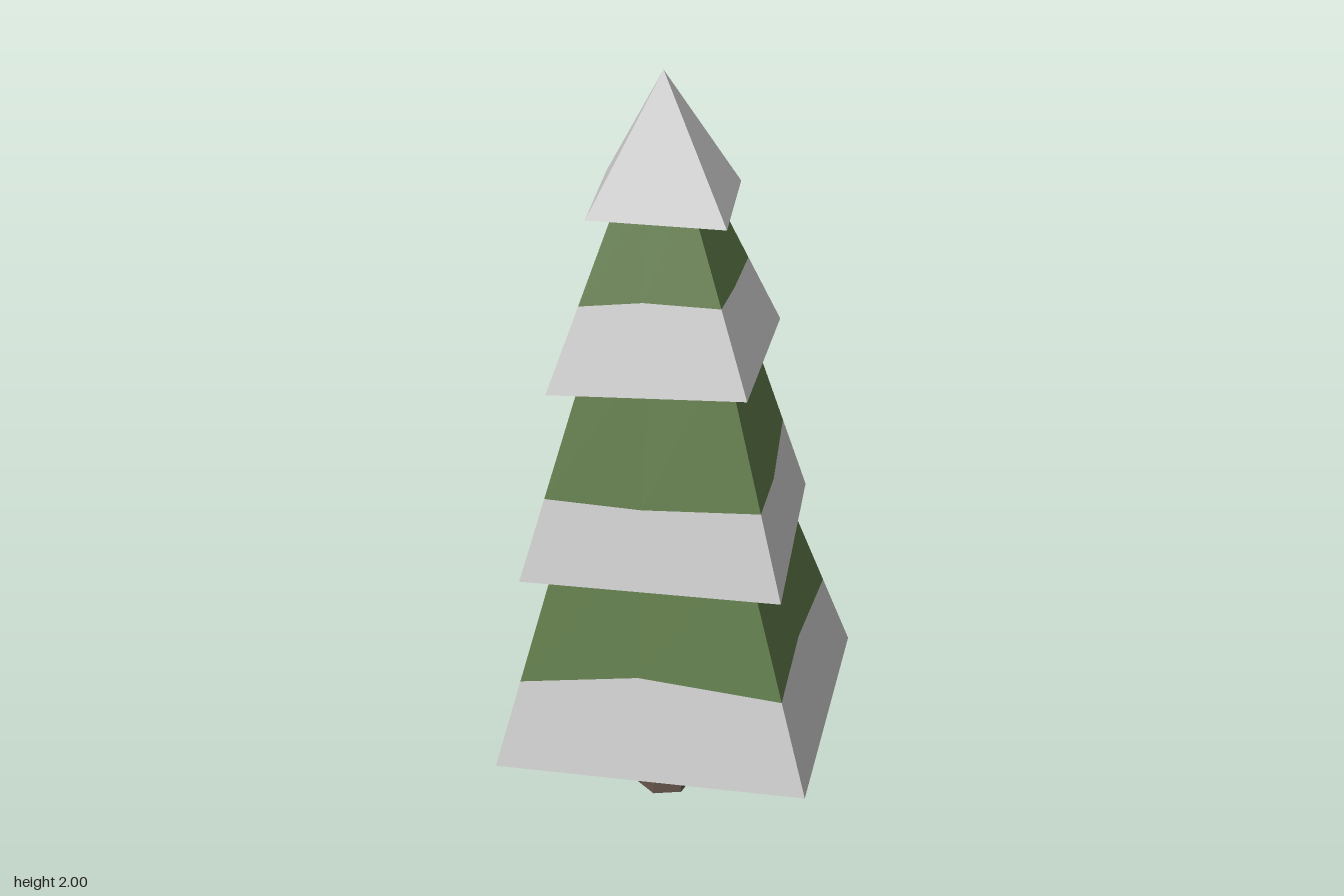
import * as THREE from 'three';

const material = (color) => new THREE.MeshStandardMaterial({ color, flatShading: true });
const snowMat = material(0xcccccc);
const greenMat = material(0x5f7a48);
const barkMat = material(0x64544a);

// Each tier: base corners (back, right, front, left), the point its edges lean to,
// snow line heights (corner, mid-face, corner, ...) and the height where it is cut off.
const tiers = [
  {
    base: [[-0.265, 0.25, -0.5], [0.5, 0.26, -0.265], [0.265, 0.25, 0.5], [-0.5, 0.245, 0.265]],
    apex: [-0.05, 1.68, 0.03],
    snow: [0.47, 0.42, 0.475, 0.505, 0.485, 0.51, 0.47, 0.505],
    top: 0.85,
  },
  {
    base: [[-0.275, 0.78, -0.39], [0.365, 0.76, -0.24], [0.21, 0.75, 0.395], [-0.425, 0.77, 0.25]],
    apex: [-0.03, 1.94, 0.01],
    snow: [0.985, 1.0, 0.975, 0.945, 0.965, 0.96, 0.975, 0.975],
    top: 1.34,
  },
  {
    base: [[-0.195, 1.25, -0.3], [0.275, 1.28, -0.155], [0.13, 1.265, 0.32], [-0.345, 1.24, 0.175]],
    apex: [-0.05, 1.96, 0.02],
    snow: [1.455, 1.465, 1.47, 1.465, 1.47, 1.47, 1.45, 1.46],
    top: 1.74,
  },
];
const crown = {
  base: [[-0.165, 1.68, -0.19], [0.165, 1.67, -0.115], [0.09, 1.665, 0.22], [-0.24, 1.675, 0.145]],
  apex: [-0.04, 2, 0.02],
};

const vec = (a) => new THREE.Vector3(...a);

// Side wall between two loops of equal length
function band(low, high) {
  const out = [];
  low.forEach((p, i) => {
    const j = (i + 1) % low.length;
    out.push(low[j], p, high[i], low[j], high[i], high[j]);
  });
  return out;
}

// Flat cap over a loop, facing down or up
function cap(loop, up) {
  const out = [];
  for (let i = 1; i < loop.length - 1; i++) {
    out.push(loop[0], ...(up ? [loop[i + 1], loop[i]] : [loop[i], loop[i + 1]]));
  }
  return out;
}

function facetMesh(points, mat, name) {
  const geo = new THREE.BufferGeometry().setFromPoints(points);
  geo.computeVertexNormals();
  const mesh = new THREE.Mesh(geo, mat);
  mesh.name = name;
  return mesh;
}

function makeTier({ base, apex, snow, top }, index) {
  const tier = new THREE.Group();
  tier.name = `branchTier${index + 1}`;
  const tip = vec(apex);
  // Base loop with a midpoint on every side
  const low = base.flatMap((c, i) => {
    const p = vec(c);
    return [p, p.clone().lerp(vec(base[(i + 1) % 4]), 0.55)];
  });
  const atHeight = (p, y) => p.clone().lerp(tip, (y - p.y) / (tip.y - p.y));
  const snowLine = low.map((p, i) => atHeight(p, snow[i]));
  const high = low.map((p) => atHeight(p, top));
  tier.add(
    facetMesh(band(low, snowLine), snowMat, 'snowBand'),
    facetMesh([...band(snowLine, high), ...cap(high, true)], greenMat, 'foliage'),
    facetMesh(cap(base.map(vec), false), greenMat, 'underside'),
  );
  return tier;
}

export function createModel() {
  const tree = new THREE.Group();
  tree.name = 'snowyTree';

  // Tapered six-sided trunk
  const trunk = new THREE.Mesh(new THREE.CylinderGeometry(0.05, 0.075, 0.3, 6, 1, false, Math.PI / 2), barkMat);
  trunk.name = 'trunk';
  trunk.position.set(-0.04, 0.15, 0);
  tree.add(trunk);

  tiers.forEach((t, i) => tree.add(makeTier(t, i)));

  // Snow-covered tip
  const rim = crown.base.map(vec);
  const sides = rim.flatMap((p, i) => [rim[(i + 1) % 4], p, vec(crown.apex)]);
  tree.add(facetMesh([...sides, ...cap(rim, false)], snowMat, 'snowCrown'));
  return tree;
}
